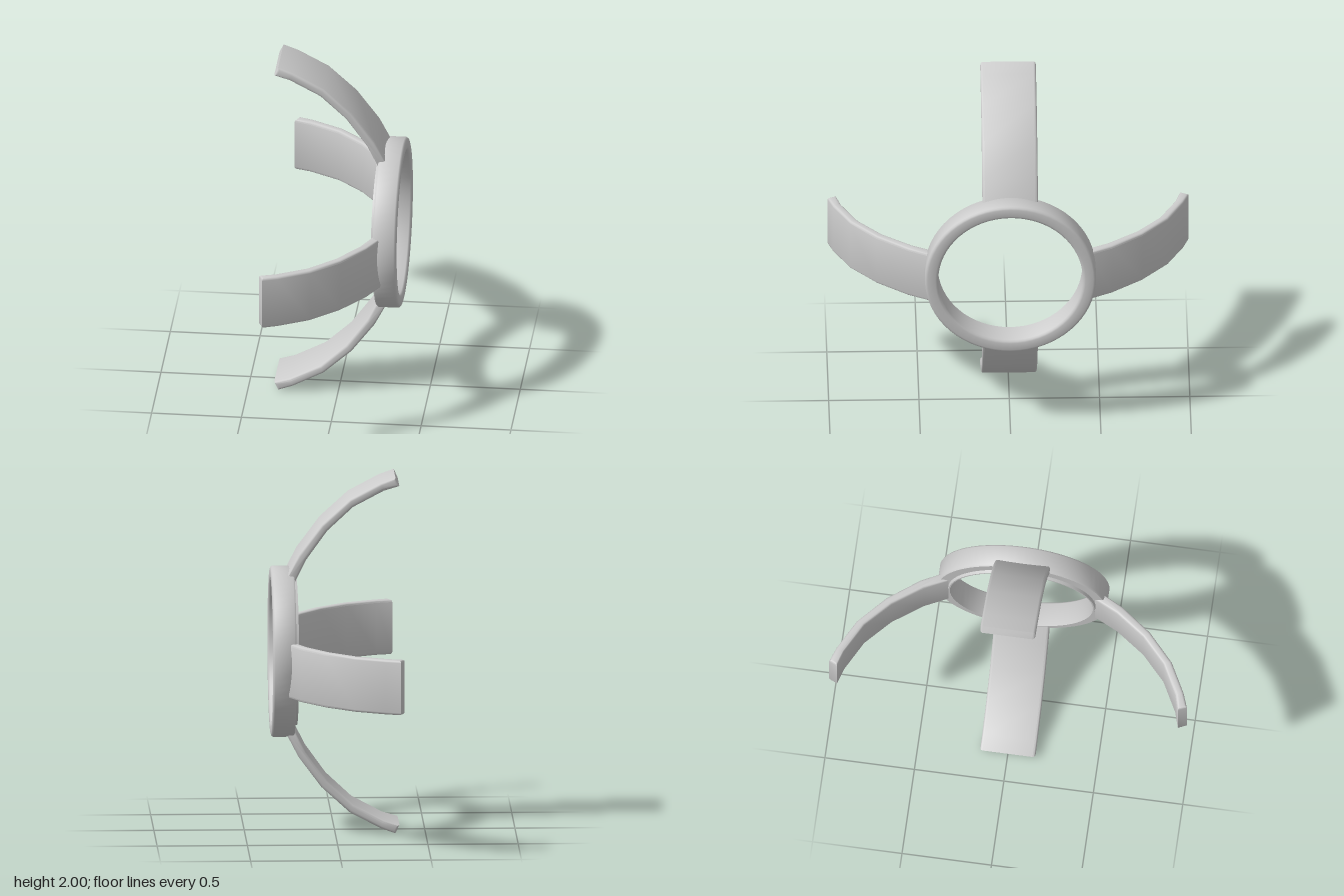
import * as THREE from 'three';
import { toCreasedNormals } from 'three/addons/utils/BufferGeometryUtils.js';

const material = new THREE.MeshStandardMaterial({ color: 0xcccccc });

// Ring around the x axis, with a softened front rim and a thin lip at the back
function createRing() {
  const profile = [
    [0.40, 0.21], [0.408, 0.21], [0.412, 0.226], [0.467, 0.226], [0.474, 0.235],
    [0.474, 0.343], [0.468, 0.352], [0.458, 0.355], [0.417, 0.355],
    [0.407, 0.352], [0.40, 0.343], [0.40, 0.21],
  ].map(([r, x]) => new THREE.Vector2(r, x));
  const lathe = new THREE.LatheGeometry(profile, 64);
  const ring = new THREE.Mesh(toCreasedNormals(lathe, 0.9), material);
  ring.name = 'ring';
  ring.rotation.z = -Math.PI / 2;
  return ring;
}

// Curved strip: side profile (x, distance from the axis) given depth and soft edges
function createArmGeometry() {
  const outer = [[-0.333, 1.0], [-0.25, 0.97], [-0.08, 0.88], [0.077, 0.737], [0.204, 0.567], [0.268, 0.443]];
  const inner = [[0.227, 0.408], [0.162, 0.54], [0.045, 0.703], [-0.098, 0.836], [-0.268, 0.926], [-0.355, 0.952]];
  const shape = new THREE.Shape([...outer, ...inner].map(([x, r]) => new THREE.Vector2(x, r)));
  const width = 0.308, bevel = 0.014;
  const geometry = new THREE.ExtrudeGeometry(shape, {
    depth: width - 2 * bevel,
    bevelSize: bevel,
    bevelThickness: bevel,
    bevelOffset: -bevel,
    bevelSegments: 3,
  });
  geometry.translate(0, 0, bevel - width / 2);
  return toCreasedNormals(geometry, 0.7);
}

export function createModel() {
  const model = new THREE.Group();
  model.name = 'ringWithArms';

  const ring = createRing();
  ring.position.y = 1.003;
  model.add(ring);

  // Four arms at quarter turns; the side pair sits a little below the centre
  const armGeometry = createArmGeometry();
  ['topArm', 'frontArm', 'bottomArm', 'backArm'].forEach((name, i) => {
    const arm = new THREE.Mesh(armGeometry, material);
    arm.name = name;
    arm.rotation.x = i * Math.PI / 2;
    arm.position.y = i % 2 ? 0.967 : 1;
    model.add(arm);
  });
  return model;
}
